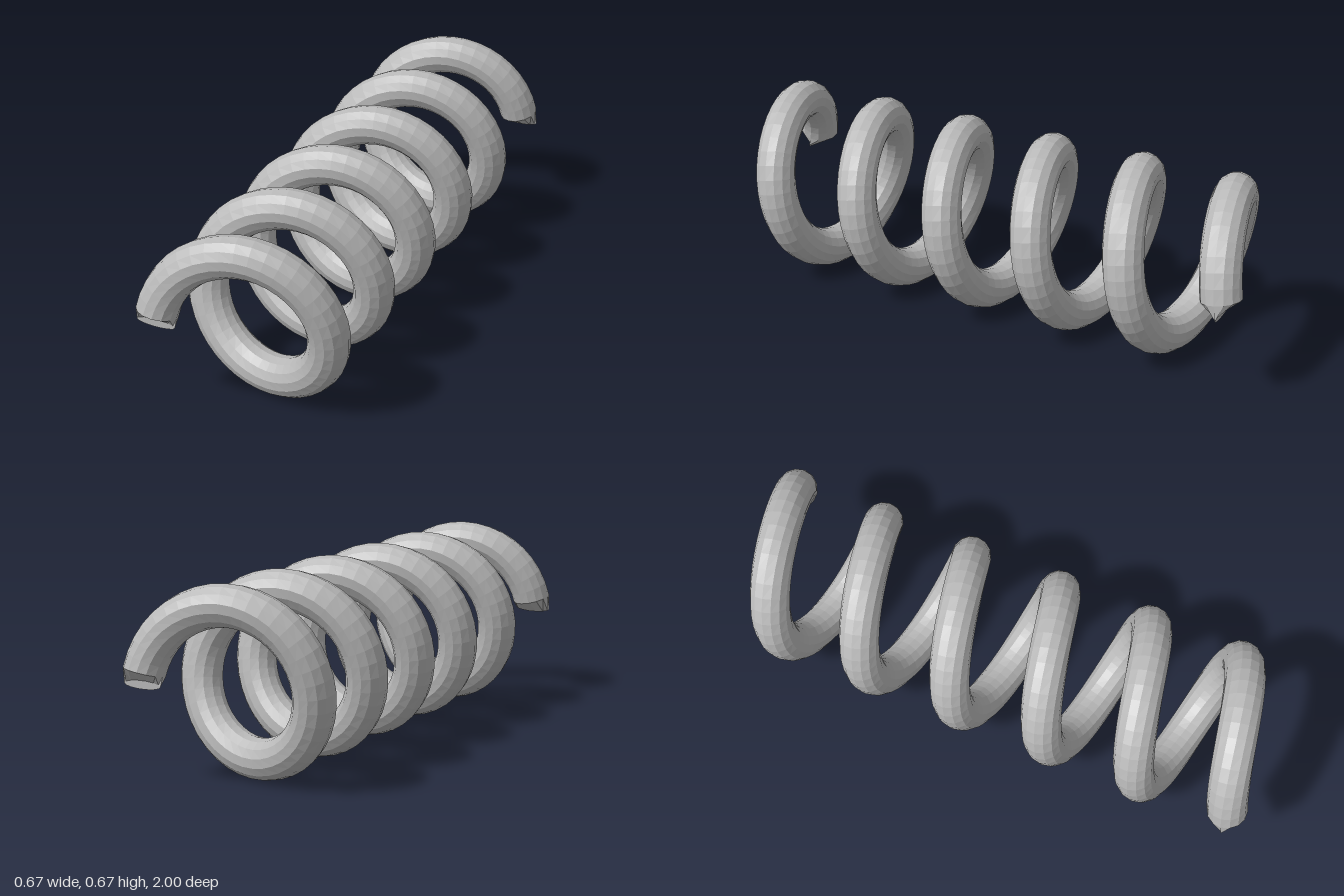
import * as THREE from 'three';

const TURNS = 5.5;
const STEPS = 220; // rings along the wire
const SIDES = 14; // sides of the wire
const COIL_R = 0.265;
const WIRE_R = 0.07;
const HALF = 0.9395; // half the length of the centre line
const CENTRE_Y = 0.335;

// One cross-section of the wire; the end rings are pinched flat in z.
function ring(i) {
  const a = (i / STEPS) * TURNS * Math.PI * 2;
  const rise = (2 * HALF) / (TURNS * Math.PI * 2);
  const radial = new THREE.Vector3(-Math.cos(a), Math.sin(a), 0);
  const tangent = new THREE.Vector3(COIL_R * Math.sin(a), COIL_R * Math.cos(a), -rise).normalize();
  const side = tangent.clone().cross(radial);
  if (i === 0 || i === STEPS) side.z = 0;
  const centre = radial.clone().multiplyScalar(COIL_R);
  centre.y += CENTRE_Y;
  centre.z = HALF - rise * a;
  const points = [];
  for (let j = 0; j < SIDES; j++) {
    const p = (j / SIDES) * Math.PI * 2;
    points.push(centre.clone()
      .addScaledVector(radial, WIRE_R * Math.cos(p))
      .addScaledVector(side, WIRE_R * Math.sin(p)));
  }
  return { centre, points };
}

// Unshared triangles give each facet its own flat normal.
function facetedMesh(name, triangles, material) {
  const geometry = new THREE.BufferGeometry().setFromPoints(triangles);
  geometry.computeVertexNormals();
  const mesh = new THREE.Mesh(geometry, material);
  mesh.name = name;
  return mesh;
}

export function createModel() {
  const steel = new THREE.MeshStandardMaterial({ color: 0xb8b8b8 });
  steel.name = 'steel grey';
  const rings = [];
  for (let i = 0; i <= STEPS; i++) rings.push(ring(i));

  // Coiled wire
  const wire = [];
  for (let i = 0; i < STEPS; i++) {
    const p = rings[i].points, q = rings[i + 1].points;
    for (let j = 0; j < SIDES; j++) {
      const k = (j + 1) % SIDES;
      wire.push(p[j], p[k], q[k], p[j], q[k], q[j]);
    }
  }

  // End caps
  const front = [], back = [];
  for (let j = 0; j < SIDES; j++) {
    const k = (j + 1) % SIDES;
    front.push(rings[0].centre, rings[0].points[k], rings[0].points[j]);
    back.push(rings[STEPS].centre, rings[STEPS].points[j], rings[STEPS].points[k]);
  }

  const model = new THREE.Group();
  model.name = 'coilSpring';
  model.add(
    facetedMesh('coil', wire, steel),
    facetedMesh('frontEndCap', front, steel),
    facetedMesh('backEndCap', back, steel),
  );
  return model;
}
